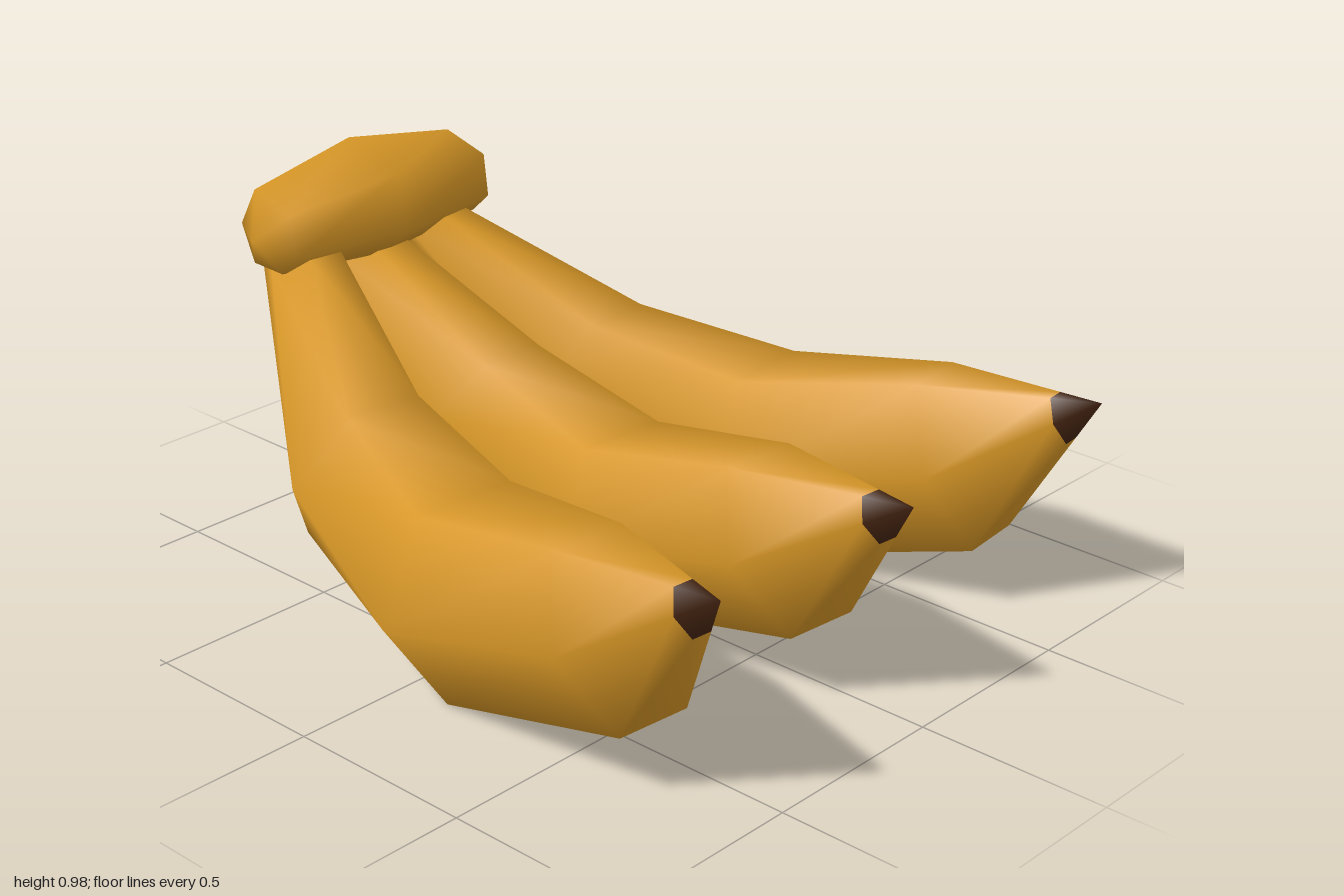
import * as THREE from 'three';
import { mergeVertices } from 'three/addons/utils/BufferGeometryUtils.js';

const SIDES = 6;

// Skin a list of six-point rings; rings may collapse to a point to close an end
function loft(rings) {
  const pos = rings.flat().flatMap((p) => [p.x, p.y, p.z]);
  const index = [];
  for (let i = 0; i < rings.length - 1; i++) {
    for (let k = 0; k < SIDES; k++) {
      const a = i * SIDES + k;
      const b = i * SIDES + ((k + 1) % SIDES);
      index.push(a, b, a + SIDES, b, b + SIDES, a + SIDES);
    }
  }
  const geo = new THREE.BufferGeometry();
  geo.setAttribute('position', new THREE.Float32BufferAttribute(pos, 3));
  geo.setIndex(index);
  const merged = mergeVertices(geo, 1e-4);
  merged.computeVertexNormals();
  return merged;
}

const pointRing = (p) => Array.from({ length: SIDES }, () => p.clone());

// One banana: sections run stem to tip as [x, y, z, half width, up y, up z]
function bananaGeometry(sections, tip, mirror) {
  const rings = sections.map(([x, y, z, r, uy, uz]) =>
    Array.from({ length: SIDES }, (_, k) => {
      const a = (k / SIDES) * Math.PI * 2;
      const c = Math.cos(a) * r;
      const s = Math.sin(a) / Math.sin(Math.PI / 3);
      return new THREE.Vector3(x + c, y + c * 0.03 + s * uy, z + c * 0.13 + s * uz);
    }));
  const end = new THREE.Vector3(...tip);
  const last = rings[rings.length - 1];
  const [x, y, z] = sections[0];
  rings.unshift(pointRing(new THREE.Vector3(x, y, z)));
  rings.push(last.map((p) => p.clone().lerp(end, 0.73)), pointRing(end));
  if (mirror) {
    for (const ring of rings) {
      ring.forEach((p) => { p.x = -p.x; });
      ring.reverse();
    }
  }
  const geo = loft(rings);
  const tipStart = (rings.length - 2) * SIDES * 6;
  geo.addGroup(0, tipStart, 0);
  geo.addGroup(tipStart, SIDES * 6, 1);
  return geo;
}

export function createModel() {
  const group = new THREE.Group();
  const peel = new THREE.MeshStandardMaterial({ color: 0xd69626 });
  peel.name = 'golden peel';
  const dark = new THREE.MeshStandardMaterial({ color: 0x40210f });
  dark.name = 'dark brown tip';

  const add = (name, geo, material) => {
    const mesh = new THREE.Mesh(geo, material);
    mesh.name = name;
    group.add(mesh);
  };

  // Outer bananas, mirrored
  const outer = [
    [-0.22, 0.735, -0.86, 0.09, 0.035, 0.09],
    [-0.415, 0.35, -0.43, 0.205, 0.18, 0.085],
    [-0.54, 0.235, 0.105, 0.27, 0.228, -0.045],
    [-0.62, 0.362, 0.63, 0.19, 0.193, -0.1],
  ];
  const outerTip = [-0.69, 0.585, 0.975];
  add('rightBanana', bananaGeometry(outer, outerTip, false), [peel, dark]);
  add('leftBanana', bananaGeometry(outer, outerTip, true), [peel, dark]);

  // Slimmer middle banana
  const middle = [
    [0.02, 0.7, -0.87, 0.1, 0.02, 0.1],
    [0.03, 0.38, -0.45, 0.175, 0.15, 0.1],
    [-0.01, 0.25, 0.11, 0.232, 0.2, -0.045],
    [-0.045, 0.37, 0.63, 0.19, 0.185, -0.1],
  ];
  add('middleBanana', bananaGeometry(middle, [-0.07, 0.585, 0.995], false), [peel, dark]);

  // Crown joining the stems: a faceted barrel along x, section as [z, y] offsets
  const section = [[0.15, -0.065], [0.07, -0.14], [-0.08, -0.135], [-0.14, 0], [-0.06, 0.143], [0.13, 0.09]];
  const crownRing = (x, y, s) =>
    section.map(([dz, dy]) => new THREE.Vector3(x, y + dy * s, -0.86 + dz * s));
  add('crown', loft([
    crownRing(-0.378, 0.815, 0),
    crownRing(-0.325, 0.828, 0.72),
    crownRing(0.01, 0.842, 1),
    crownRing(0.345, 0.828, 0.72),
    crownRing(0.395, 0.815, 0),
  ]), peel);

  return group;
}
